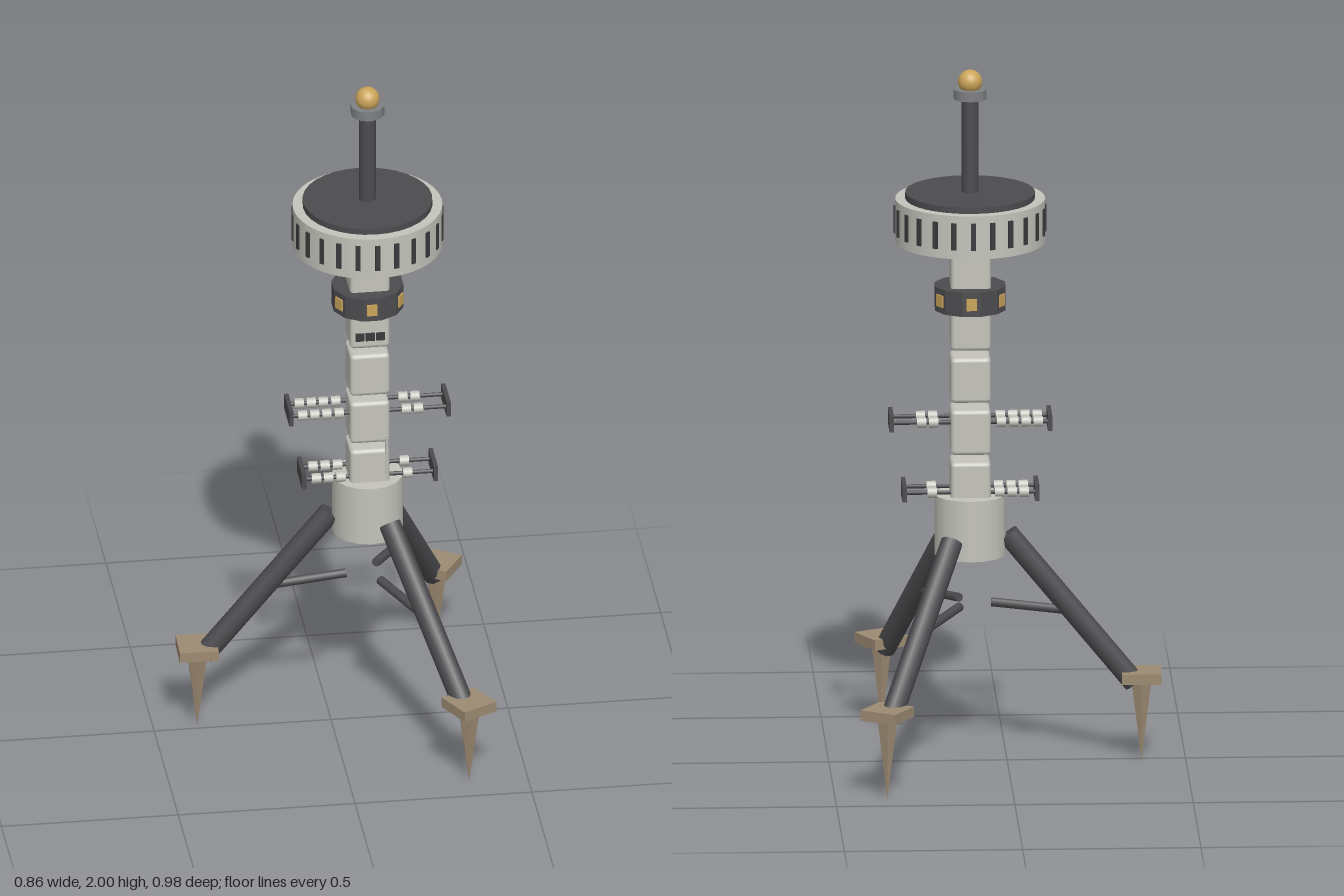
import * as THREE from 'three';
import { RoundedBoxGeometry } from 'three/addons/geometries/RoundedBoxGeometry.js';

const mat = (name, color) => Object.assign(new THREE.MeshStandardMaterial({ color }), { name });

export function createModel() {
  const hull = mat('pale grey', 0xc4c4bc);
  const dark = mat('charcoal', 0x4c4c4f);
  const black = mat('dark slot', 0x3a3a3c);
  const steel = mat('mid grey', 0x7e8082);
  const gold = mat('gold', 0xcaa55a);
  const earth = mat('brown', 0x9c8a72);

  const root = new THREE.Group();
  root.name = 'fieldBeacon';
  const tower = new THREE.Group();
  tower.name = 'tower';
  tower.position.set(0.104, 0, -0.006);
  root.add(tower);

  const add = (parent, name, geo, material, x = 0, y = 0, z = 0) => {
    const m = new THREE.Mesh(geo, material);
    m.name = name;
    m.position.set(x, y, z);
    parent.add(m);
    return m;
  };
  // Upright cylinder given by its bottom and top heights
  const drum = (name, r, y0, y1, sides, material) =>
    add(tower, name, new THREE.CylinderGeometry(r, r, y1 - y0, sides), material, 0, (y0 + y1) / 2, 0);
  // Round bar between two points
  const bar = (parent, name, a, b, r, sides, material) => {
    const dir = new THREE.Vector3().subVectors(b, a);
    const m = add(parent, name, new THREE.CylinderGeometry(r, r, dir.length(), sides), material);
    m.position.copy(a).add(b).multiplyScalar(0.5);
    m.quaternion.setFromUnitVectors(new THREE.Vector3(0, 1, 0), dir.normalize());
    return m;
  };
  // Thin plates spaced evenly around the axis, facing outwards
  const ringOfPlates = (name, count, r, y, w, h, material) => {
    for (let i = 0; i < count; i++) {
      const a = (i / count) * Math.PI * 2;
      const p = add(tower, name, new THREE.BoxGeometry(w, h, 0.009), material, Math.sin(a) * r, y, Math.cos(a) * r);
      p.rotation.y = a;
    }
  };
  const v = (x, y, z = 0) => new THREE.Vector3(x, y, z);

  // Tripod legs with braces, foot plates and ground spikes
  for (let i = 0; i < 3; i++) {
    const leg = new THREE.Group();
    leg.name = 'leg';
    leg.rotation.y = -THREE.MathUtils.degToRad(61.4 + i * 120);
    tower.add(leg);
    bar(leg, 'legTube', v(0.105, 0.658), v(0.46, 0.225), 0.031, 10, dark);
    bar(leg, 'legBrace', v(0.28, 0.435), v(0.06, 0.46), 0.013, 8, dark);
    add(leg, 'footPlate', new THREE.BoxGeometry(0.11, 0.03, 0.11), earth, 0.48, 0.246, 0);
    const spike = new THREE.ConeGeometry(0.032, 0.232, 6).toNonIndexed();
    spike.computeVertexNormals();
    spike.rotateX(Math.PI);
    add(leg, 'footSpike', spike, earth, 0.48, 0.116, 0);
  }

  // Hub where the legs meet
  drum('hub', 0.1, 0.6, 0.775, 16, hull);

  // Stacked column blocks, spaced apart
  for (let i = 0; i < 5; i++) {
    add(tower, 'columnBlock', new RoundedBoxGeometry(0.112, 0.13, 0.112, 2, 0.012), hull, 0, 0.811 + i * 0.151, 0);
  }
  bar(tower, 'cable', v(0.047, 0.8, 0.056), v(0.047, 0.92, 0.056), 0.005, 6, hull);

  // Small vent on the front of the fourth block
  for (let i = -1; i <= 1; i++) {
    add(tower, 'ventSlot', new THREE.BoxGeometry(0.025, 0.024, 0.009), black, i * 0.029, 1.238, 0.056);
  }

  // Collar with gold windows on its flats
  const collar = new THREE.CylinderGeometry(0.102, 0.102, 0.07, 12).toNonIndexed();
  collar.computeVertexNormals();
  collar.rotateY(Math.PI / 12);
  add(tower, 'collar', collar, dark, 0, 1.345, 0);
  ringOfPlates('collarWindow', 6, 0.0985, 1.345, 0.03, 0.034, gold);

  // Paired side arms with insulator beads and end plates
  const arms = [
    { y: 0.99, reach: 0.222, beads: [-0.189, -0.155, -0.121, -0.086, 0.104, 0.138] },
    { y: 0.787, reach: 0.186, beads: [-0.15, -0.116, -0.081, 0.108] },
  ];
  for (const { y, reach, beads } of arms) {
    for (const z of [-0.036, 0.036]) {
      bar(tower, 'armRod', v(-reach, y, z), v(reach, y, z), 0.006, 8, dark);
      for (const x of beads) {
        bar(tower, 'armBead', v(x - 0.013, y, z), v(x + 0.013, y, z), 0.015, 10, hull);
      }
    }
    for (const s of [-1, 1]) {
      add(tower, 'armPlate', new THREE.BoxGeometry(0.012, 0.046, 0.11), dark, s * reach, y, 0);
    }
  }

  // Sensor drum with slots around the rim and a dark lid
  drum('sensorDrum', 0.21, 1.505, 1.63, 48, hull);
  ringOfPlates('drumSlot', 24, 0.2095, 1.57, 0.014, 0.078, black);
  drum('drumLid', 0.182, 1.625, 1.648, 32, dark);

  // Mast, tip ring and lamp
  drum('mast', 0.024, 1.64, 1.93, 12, dark);
  drum('mastRing', 0.048, 1.918, 1.946, 10, steel);
  add(tower, 'lamp', new THREE.SphereGeometry(0.034, 20, 14), gold, 0, 1.966, 0);

  return root;
}
